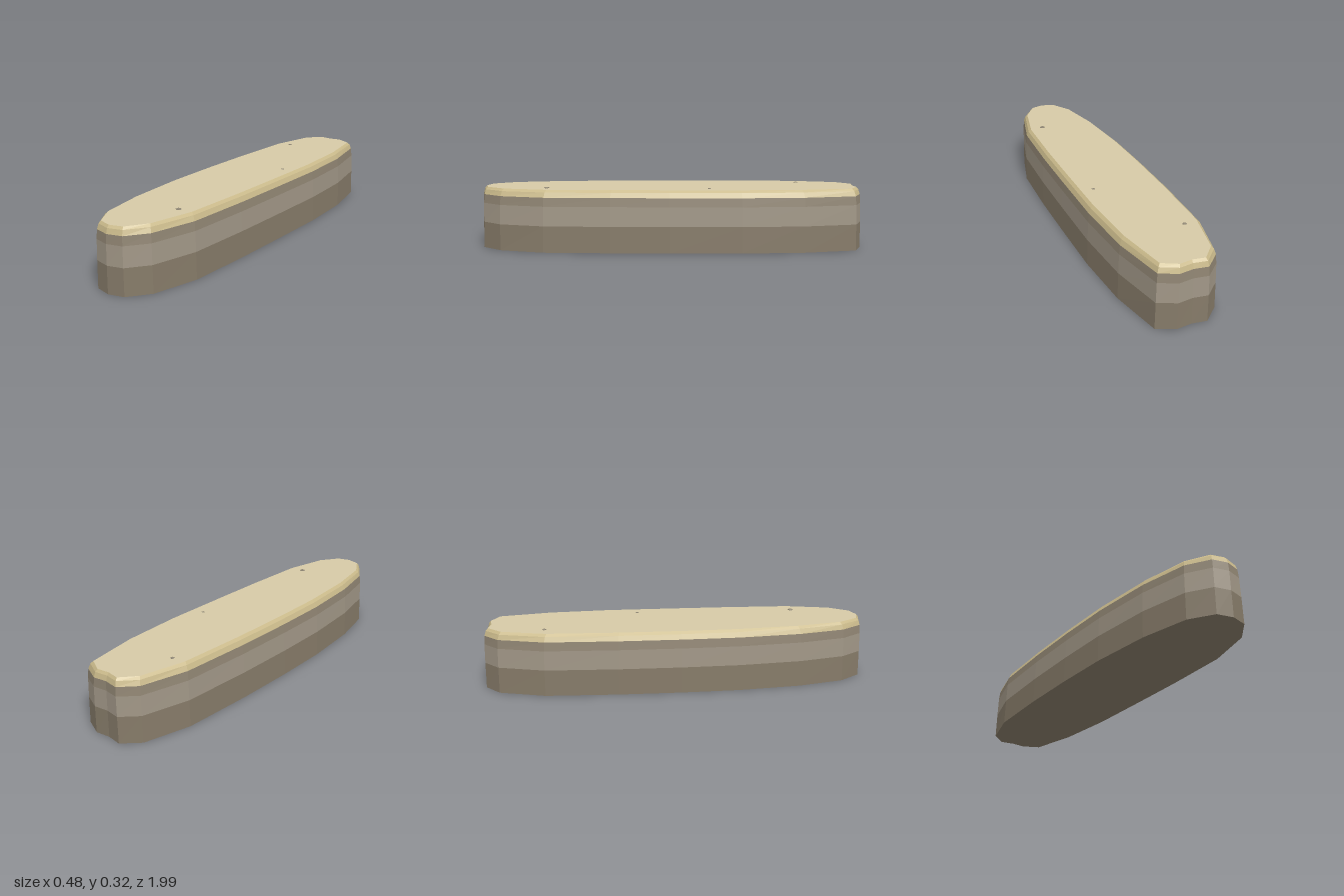
import * as THREE from 'three';

// Ground outline [x, z], counter-clockwise from above, starting at the front tip
const OUTLINE = [
  [0, 0.99], [0.08, 0.97], [0.16, 0.87], [0.22, 0.64], [0.234, 0.3], [0.238, 0],
  [0.24, -0.37], [0.22, -0.69], [0.165, -0.96], [0.075, -1], [0, -0.99], [-0.075, -1],
  [-0.155, -0.925], [-0.22, -0.69], [-0.238, -0.32], [-0.242, 0], [-0.237, 0.3],
  [-0.208, 0.62], [-0.155, 0.86], [-0.08, 0.97],
];

// Height and inward taper of each ring
const RINGS = [[0, 0], [0.135, 0.1], [0.235, 0.2], [0.28, 0.34], [0.305, 0.62], [0.317, 1]];

const ring = ([y, k]) => OUTLINE.map(([x, z]) => [x * (1 - 0.165 * k), y, z * (1 - 0.028 * k)]);

function facetMesh(name, triangles, color) {
  const geometry = new THREE.BufferGeometry();
  geometry.setAttribute('position', new THREE.Float32BufferAttribute(triangles.flat(), 3));
  geometry.computeVertexNormals();
  const mesh = new THREE.Mesh(geometry, new THREE.MeshStandardMaterial({ color, flatShading: true }));
  mesh.name = name;
  return mesh;
}

// Strip of quads between two rings
function band(lower, upper) {
  return lower.flatMap((a, i) => {
    const j = (i + 1) % lower.length;
    return [a, lower[j], upper[j], a, upper[j], upper[i]];
  });
}

// Flat fan closing a ring
function cap(points, up) {
  const centre = [0, points[0][1], 0];
  return points.flatMap((a, i) => {
    const b = points[(i + 1) % points.length];
    return up ? [centre, a, b] : [centre, b, a];
  });
}

export function createModel() {
  const group = new THREE.Group();
  group.name = 'sandyRockPlatform';
  const r = RINGS.map(ring);

  // Rock body in strata
  group.add(facetMesh('underside', cap(r[0], false), 0x857a68));
  group.add(facetMesh('lowerRock', band(r[0], r[1]), 0x857a68));
  group.add(facetMesh('middleRock', band(r[1], r[2]), 0xa09686));
  group.add(facetMesh('upperRock', band(r[2], r[3]), 0x8f8472));

  // Rounded sandy rim and flat top
  group.add(facetMesh('sandRim', [...band(r[3], r[4]), ...band(r[4], r[5])], 0xc9b98a));
  group.add(facetMesh('sandTop', cap(r[5], true), 0xd6caa6));

  // Small half-buried pebbles
  for (const [x, z, size] of [[-0.115, -0.685, 0.011], [0.137, -0.205, 0.009], [0.112, 0.63, 0.015]]) {
    const pebble = new THREE.Mesh(
      new THREE.DodecahedronGeometry(size, 0),
      new THREE.MeshStandardMaterial({ color: 0x8f8674, flatShading: true })
    );
    pebble.name = 'pebble';
    pebble.scale.y = 0.4;
    pebble.position.set(x, 0.317, z);
    pebble.rotation.y = z * 5;
    group.add(pebble);
  }
  return group;
}
